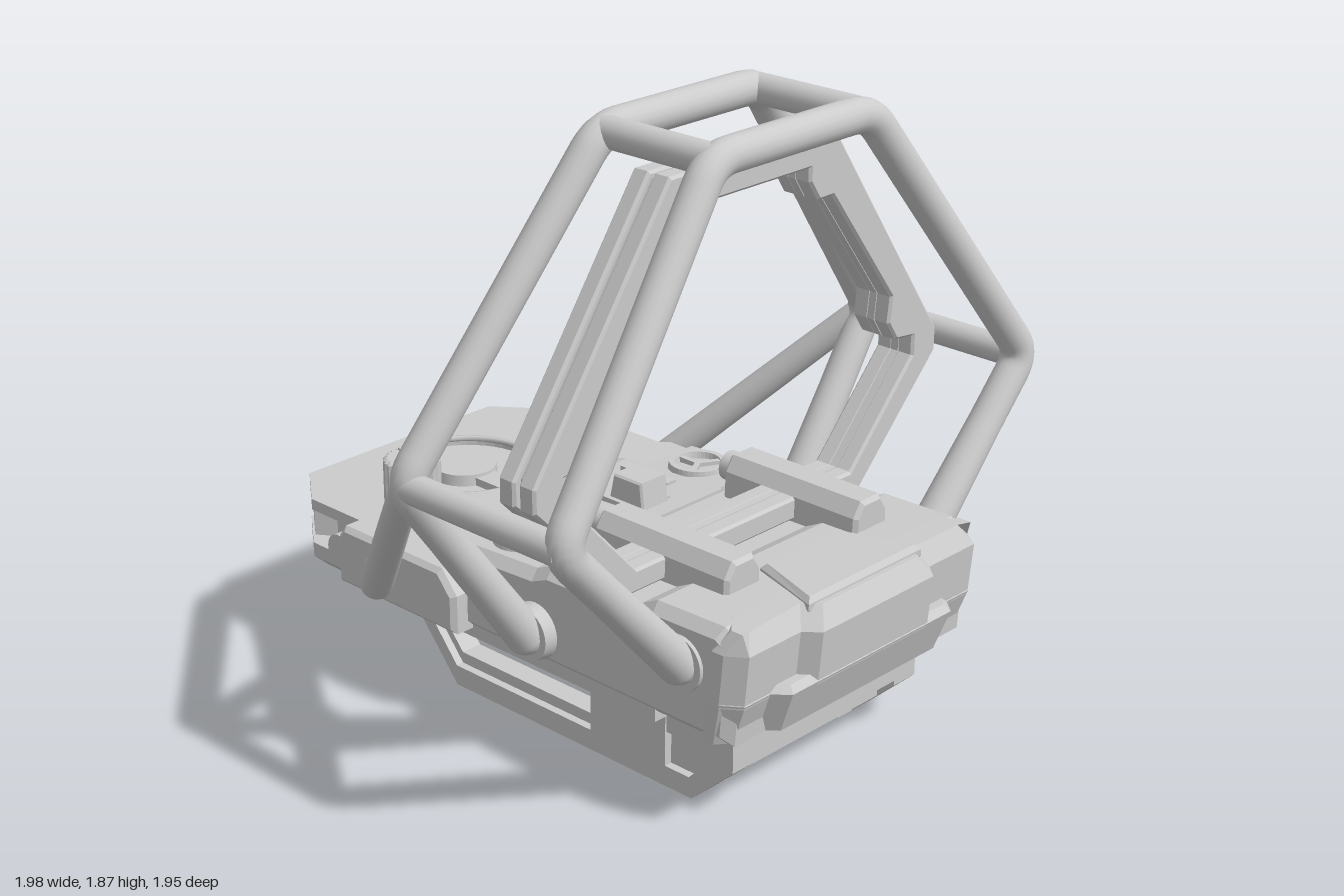
import * as THREE from 'three';

const mat = new THREE.MeshStandardMaterial({ color: 0xcccccc });
const flat = new THREE.MeshStandardMaterial({ color: 0xcccccc, flatShading: true });
const V = (x, y, z) => new THREE.Vector3(x, y, z);
const SIDES = [1, -1];

// Mirror a half outline (x >= 0) across x = 0
const mir = pts => [...pts, ...pts.slice().reverse().map(([x, y]) => [-x, y])];
const circle = (x, y, r, n, turn = 0) => Array.from({ length: n }, (_, i) => {
  const a = (i + turn) / n * Math.PI * 2;
  return [x + r * Math.cos(a), y + r * Math.sin(a)];
});
const vec2 = pts => pts.map(p => new THREE.Vector2(...p));
const ccw = pts => {
  const v = vec2(pts);
  return THREE.ShapeUtils.area(v) < 0 ? v.reverse() : v;
};
const shapeOf = (pts, holes = []) => {
  const s = new THREE.Shape(ccw(pts));
  s.holes = holes.map(h => new THREE.Path(ccw(h).reverse()));
  return s;
};

// Extrusion centred on its depth axis, with an optional chamfer kept inside the outline
function extrude(shape, depth, b = 0) {
  const g = new THREE.ExtrudeGeometry(shape, {
    depth: depth - 2 * b, bevelEnabled: b > 0, bevelSize: b, bevelThickness: b,
    bevelOffset: -b, bevelSegments: 1
  });
  return g.translate(0, 0, b - depth / 2);
}
// Profile given as (z, y), extruded between two x values
const alongX = (s, x0, x1, b) => extrude(s, x1 - x0, b).rotateY(-Math.PI / 2).translate((x0 + x1) / 2, 0, 0);
// Plan given as (x, z), extruded between two heights
const alongY = (s, y0, y1, b) => extrude(s, y1 - y0, b).rotateX(Math.PI / 2).translate(0, (y0 + y1) / 2, 0);
// Profile given as (x, y), extruded between two z values
const alongZ = (s, z0, z1, b) => extrude(s, z1 - z0, b).translate(0, 0, (z0 + z1) / 2);

// Stack of one plan outline at several heights: layers are [y, inset, z shift]
function loft(plan, layers) {
  const pts = ccw(plan), n = pts.length, pos = [], idx = [];
  const zc = pts.reduce((a, p) => a + p.y, 0) / n;
  for (const [y, d, dz = 0] of layers)
    for (const p of pts) pos.push(p.x - Math.sign(p.x) * d, y, p.y - Math.sign(p.y - zc) * d + dz);
  for (let k = 0; k < layers.length - 1; k++)
    for (let i = 0; i < n; i++) {
      const a = k * n + i, b = k * n + (i + 1) % n;
      idx.push(a, a + n, b + n, a, b + n, b);
    }
  const top = (layers.length - 1) * n;
  for (const [a, b, c] of THREE.ShapeUtils.triangulateShape(pts, []))
    idx.push(a, b, c, top + a, top + c, top + b);
  const g = new THREE.BufferGeometry();
  g.setAttribute('position', new THREE.Float32BufferAttribute(pos, 3));
  g.setIndex(idx);
  g.computeVertexNormals();
  return g;
}

// Path through points with rounded corners
function roundedPath(pts, d) {
  const path = new THREE.CurvePath();
  let from = pts[0];
  for (let i = 1; i < pts.length - 1; i++) {
    const toward = q => pts[i].clone().addScaledVector(q.clone().sub(pts[i]).normalize(), d);
    const a = toward(pts[i - 1]), b = toward(pts[i + 1]);
    path.add(new THREE.LineCurve3(from, a));
    path.add(new THREE.QuadraticBezierCurve3(a, pts[i], b));
    from = b;
  }
  path.add(new THREE.LineCurve3(from, pts[pts.length - 1]));
  return path;
}

export function createModel() {
  const root = new THREE.Group();
  const add = (name, geo, m = flat) => {
    const o = new THREE.Mesh(geo, m);
    o.name = name;
    root.add(o);
    return o;
  };
  const box = (name, x0, x1, y0, y1, z0, z1) => add(name, new THREE.BoxGeometry(x1 - x0, y1 - y0, z1 - z0)
    .translate((x0 + x1) / 2, (y0 + y1) / 2, (z0 + z1) / 2));
  const rod = (name, a, b, ra, rb = ra) => {
    const d = b.clone().sub(a);
    const o = add(name, new THREE.CylinderGeometry(rb, ra, d.length(), 28), mat);
    o.position.copy(a).addScaledVector(d, 0.5);
    o.quaternion.setFromUnitVectors(V(0, 1, 0), d.normalize());
  };
  const ball = (p, r) => add('tubeEnd', new THREE.SphereGeometry(r, 20, 14).translate(p.x, p.y, p.z), mat);

  // Main housing and two-tier front bumper
  add('housing', alongX(shapeOf([[0.88, 0.3], [0.9, 0.6], [0.84, 0.64], [0.6, 0.635], [0.54, 0.605], [0.2, 0.6],
    [0.14, 0.575], [-0.16, 0.56], [-0.28, 0.49], [-0.28, 0.3]]), -0.51, 0.51, 0.03));
  const bumper = w => mir([[w, 0.97], [w + 0.04, 0.925], [0.48, 0.925], [0.52, 0.87], [0.52, 0.83], [0.46, 0.78]]);
  add('bumperBand', loft(bumper(0.34), [[0.3, 0.01, -0.05], [0.43, 0, -0.012], [0.45, 0.01, -0.02]]));
  add('bumperUpper', loft(bumper(0.235), [[0.42, 0, -0.015], [0.58, 0], [0.64, 0.035]]));
  add('bumperPanel', alongY(shapeOf(mir([[0.24, 0.92], [0.16, 0.68]])), 0.61, 0.66, 0.015));
  add('controlDeck', alongY(shapeOf(mir([[0.48, 0.14], [0.48, -0.24], [0.34, -0.38]])), 0.47, 0.56, 0.025));
  add('controlPlateau', alongX(shapeOf([[0.2, 0.61], [-0.19, 0.59], [-0.29, 0.56], [-0.29, 0.5], [0.2, 0.5]]), -0.24, 0.24, 0.02));

  // Rear plate: bottom, grooved middle, and top layer with a round well
  const rear = mir([[0.5, -0.12], [0.5, -0.82], [0.38, -0.975]]);
  add('rearPlateBottom', loft(rear, [[0.27, 0.03], [0.3, 0], [0.345, 0]]));
  add('rearPlateMiddle', alongY(shapeOf(mir([[0.5, -0.12], [0.5, -0.62], [0.42, -0.65], [0.42, -0.8],
    [0.46, -0.86], [0.375, -0.97], [0.34, -0.97], [0.32, -0.945]])), 0.34, 0.46));
  add('rearPlateTop', alongY(shapeOf(rear, [circle(0, -0.68, 0.225, 48)]), 0.455, 0.49));
  add('rearUnderside', alongX(shapeOf([[-0.84, 0.29], [-0.84, 0.23], [-0.81, 0.19], [-0.4, 0.19], [-0.4, 0.29]]), -0.34, 0.34));
  rod('rearScrew', V(-0.25, 0.4, -0.92), V(-0.25, 0.4, -0.955), 0.025);

  // Battery cap sitting in the well
  rod('batteryCap', V(0, 0.44, -0.68), V(0, 0.495, -0.68), 0.105, 0.1);
  box('capArm', -0.04, 0.04, 0.45, 0.485, -0.6, -0.44);
  add('wellRim', new THREE.TorusGeometry(0.223, 0.01, 6, 48).rotateX(Math.PI / 2).translate(0, 0.485, -0.68), mat);
  rod('deckScrew', V(0.08, 0.48, -0.37), V(0.08, 0.54, -0.37), 0.026);

  // Switch on the plateau
  box('switchBase', -0.07, 0.07, 0.58, 0.615, -0.13, 0.13);
  add('switchLever', alongX(shapeOf([[0.14, 0.6], [0.13, 0.69], [0.02, 0.69], [0, 0.6]]), -0.055, 0.055, 0.006));

  const knurl = circle(0, 0, 1, 72).map(([x, y], i) => {
    const r = i % 3 ? 0.086 : 0.08;
    return [x * r, y * r];
  });
  for (const s of SIDES) {
    box('gripRib', s * 0.15 - 0.02, s * 0.15 + 0.02, 0.58, 0.612, -0.13, 0.06);

    // Knurled adjustment knob
    add('knob', alongY(shapeOf(knurl), 0.48, 0.675, 0.008)).position.set(s * 0.355, 0, -0.52);
    const bar = add('knobBar', new THREE.BoxGeometry(0.03, 0.014, 0.13));
    bar.position.set(s * 0.355, 0.676, -0.52);
    bar.rotation.y = s * 0.3;

    // Round push button with a three-spoke centre
    add('buttonRing', new THREE.LatheGeometry(
      vec2([[0.095, 0.54], [0.088, 0.585], [0.07, 0.585], [0.06, 0.54]]), 32).translate(s * 0.365, 0, -0.03));
    for (let i = 0; i < 3; i++) {
      const a = i * Math.PI * 2 / 3 + Math.PI / 2;
      const spoke = add('buttonSpoke', new THREE.BoxGeometry(0.07, 0.03, 0.018));
      spoke.position.set(s * 0.365 + Math.cos(a) * 0.035, 0.565, -0.03 - Math.sin(a) * 0.035);
      spoke.rotation.y = a;
    }

    // Window mounting clip with screw ends
    add('clip', alongZ(shapeOf([[-0.075, 0.57], [-0.07, 0.68], [-0.04, 0.725], [0.04, 0.725], [0.07, 0.68], [0.075, 0.57]]),
      0.22, 0.72, 0.012)).position.x = s * 0.27;
    rod('clipScrew', V(s * 0.27, 0.665, 0.18), V(s * 0.27, 0.665, 0.3), 0.045);

    // Side plate with screw and lower lip
    const [x0, x1] = s > 0 ? [0.45, 0.565] : [-0.565, -0.45];
    add('sidePlate', alongX(shapeOf([[-0.12, 0.3], [-0.12, 0.42], [-0.18, 0.49], [-0.6, 0.49], [-0.63, 0.45], [-0.63, 0.3]]), x0, x1, 0.015));
    rod('sideScrew', V(s * 0.42, 0.4, -0.635), V(s * 0.555, 0.4, -0.635), 0.048);
    box('lowerSideLip', s * 0.445 - 0.045, s * 0.445 + 0.045, 0.27, 0.32, -0.3, 0.6);
  }

  // Window: two plates with inner tabs, a thin spacer, and tab screws
  const outer = mir([[0.33, 1.75], [0.83, 1.03], [0.83, 0.96], [0.49, 0.61]]);
  const inner = mir([[0.23, 1.65], [0.23, 1.61], [0.27, 1.55], [0.33, 1.55], [0.61, 1.18], [0.6, 1.1],
    [0.64, 1.04], [0.72, 1.03], [0.72, 0.97], [0.45, 0.68]]);
  const shrink = outer.map(([x, y]) => [x * 0.97, 1.18 + (y - 1.18) * 0.97]);
  add('windowFrameFront', alongZ(shapeOf(outer, [inner]), 0.435, 0.495, 0.008));
  add('windowFrameRear', alongZ(shapeOf(outer, [inner]), 0.36, 0.42, 0.008));
  add('windowSpacer', alongZ(shapeOf(shrink, [inner]), 0.415, 0.44));
  for (const s of SIDES) for (const [x, y] of [[0.29, 1.62], [0.655, 1.11]])
    rod('windowScrew', V(s * x, y, 0.37), V(s * x, y, 0.353), 0.035);

  // Tubular guard cage: two bent frames joined by links and braced to the rear
  const top = (s, f) => V(s * 0.315, 1.82, f ? 0.62 : 0.225);
  const mid = (s, f) => V(s * 0.96, 0.975, f ? 0.715 : 0.135);
  const low = (s, f) => f ? V(s * 0.52, 0.5, 0.71) : V(s * 0.55, 0.4, 0.16);
  for (const f of [true, false]) {
    const path = roundedPath([low(1, f), mid(1, f), top(1, f), top(-1, f), mid(-1, f), low(-1, f)], 0.07);
    add('cageFrame', new THREE.TubeGeometry(path, 200, 0.051, 18), mat);
    for (const s of SIDES) {
      const p = low(s, f);
      rod('cageLegSleeve', mid(s, f).lerp(p, 0.3), p, 0.05, 0.058);
      ball(p, 0.058);
      rod('tubeCollar', V(s * 0.44, p.y, p.z), p, 0.095, 0.08);
    }
  }
  for (const s of SIDES) {
    const inward = V(-s * 0.015, -0.005, 0);
    rod('cageTopLink', top(s, true).add(inward), top(s, false).add(inward), 0.045);
    rod('cageSideLink', mid(s, true).add(inward), mid(s, false).add(inward), 0.043);
    const foot = V(s * 0.575, 0.365, -0.44);
    rod('rearStrut', mid(s, false).add(inward), foot, 0.043, 0.05);
    ball(foot, 0.05);
    rod('strutCollar', V(s * 0.5, 0.375, -0.45), V(s * 0.585, 0.375, -0.45), 0.07, 0.06);
  }

  // Rail mount: base plate, two jaws with windows, and dovetail hooks
  add('mountBase', alongZ(shapeOf(mir([[0.36, 0.305], [0.39, 0.28], [0.39, 0.18], [0.37, 0.165], [0.3, 0.165]])), 0.55, 0.8));
  box('mountPlate', -0.38, 0.38, 0.24, 0.305, -0.5, 0.6);
  box('mountLug', -0.3, 0.3, 0.095, 0.25, 0.55, 0.74);
  box('rearLug', -0.28, 0.28, 0.13, 0.25, -0.37, -0.31);
  const jaw = [[0.8, 0.3], [-0.55, 0.3], [-0.3, 0.012], [0.65, 0.012], [0.8, 0.15]];
  const slot = [[0.25, 0.225], [-0.4, 0.225], [-0.3, 0.11], [0.25, 0.11]];
  const pocket = [[0.26, 0.25], [-0.45, 0.25], [-0.3, 0.075], [0.26, 0.075]];
  const frontPocket = [[0.72, 0.25], [0.55, 0.25], [0.55, 0.075], [0.64, 0.075], [0.72, 0.16]];
  for (const s of SIDES) {
    const span = (a, b) => s > 0 ? [a, b] : [-b, -a];
    add('jaw', alongX(shapeOf(jaw, [slot]), ...span(0.3, 0.37)));
    add('jawTrim', alongX(shapeOf(jaw, [pocket, frontPocket]), ...span(0.365, 0.395)));
    add('jawHook', alongZ(shapeOf([[s * 0.24, 0.012], [s * 0.32, 0.012], [s * 0.32, 0.07]]), -0.3, 0.65));
  }

  // Cross bolt and hexagonal clamp nut
  rod('crossBolt', V(-0.39, 0.16, 0.42), V(0.45, 0.16, 0.42), 0.05);
  add('clampNut', alongX(shapeOf(circle(0.42, 0.16, 0.158, 6, 0.5)), 0.39, 0.55, 0.025));
  add('nutRing', new THREE.TorusGeometry(0.075, 0.012, 8, 32).rotateY(Math.PI / 2).translate(0.545, 0.16, 0.42), mat);
  rod('nutCore', V(0.5, 0.16, 0.42), V(0.553, 0.16, 0.42), 0.05);

  return root;
}
